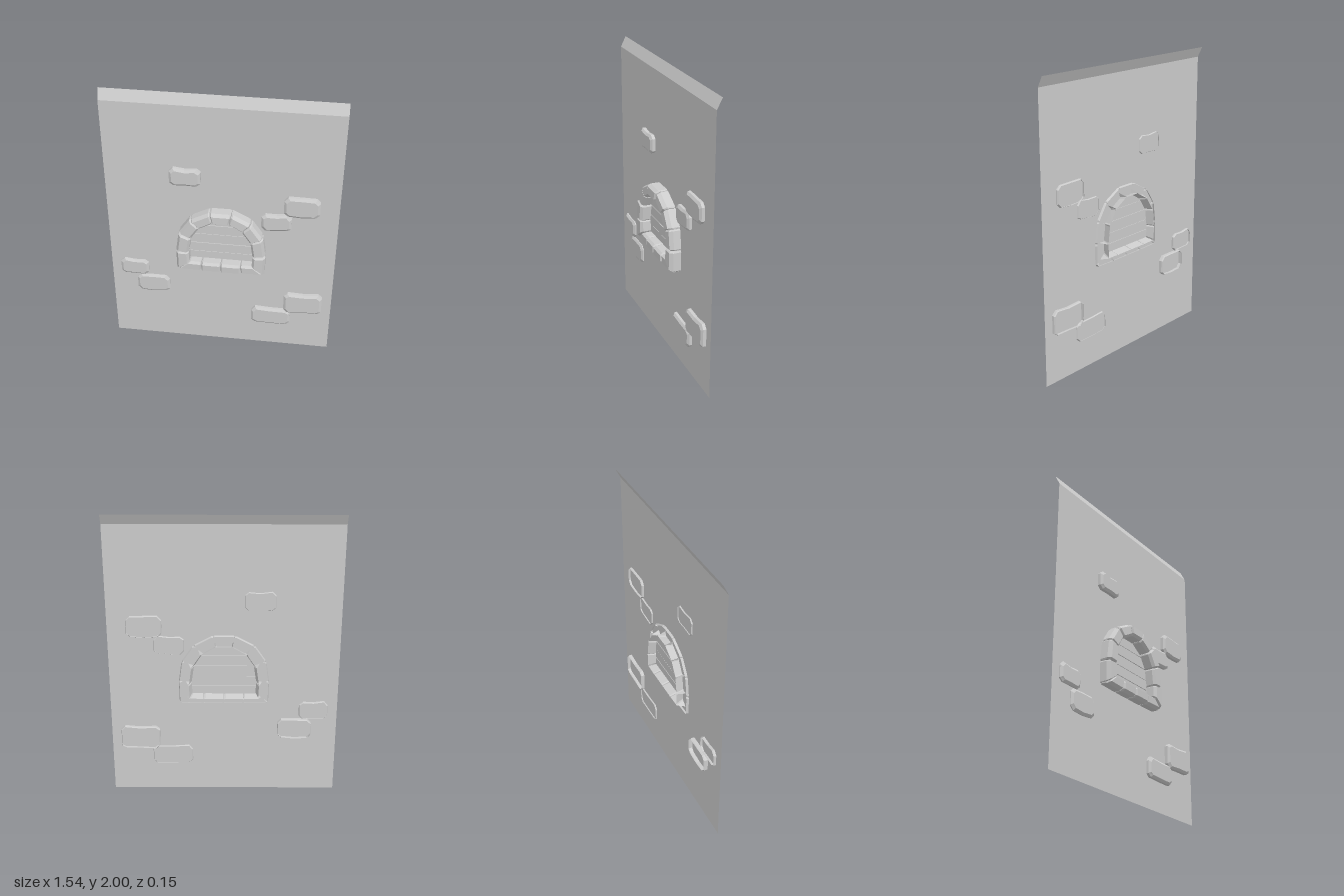
import * as THREE from 'three';

const material = new THREE.MeshStandardMaterial({
  color: 0xcccccc, flatShading: true, side: THREE.DoubleSide,
});

// Skin a grid of points (rows of equal length) with triangles
function skin(name, rows) {
  const cols = rows[0].length, index = [];
  for (let r = 0; r < rows.length - 1; r++) {
    for (let c = 0; c < cols - 1; c++) {
      const a = r * cols + c, d = a + cols;
      index.push(a, a + 1, d + 1, a, d + 1, d);
    }
  }
  const geometry = new THREE.BufferGeometry();
  geometry.setAttribute('position', new THREE.Float32BufferAttribute(rows.flat(2), 3));
  geometry.setIndex(index);
  geometry.computeVertexNormals();
  const mesh = new THREE.Mesh(geometry, material);
  mesh.name = name;
  return mesh;
}

const mean = (points) => [0, 1, 2].map((k) => points.reduce((s, p) => s + p[k], 0) / points.length);
const lerp = THREE.MathUtils.lerp;
const WALL_Z = -0.02;

// Open-backed wall stone with a chamfered, slightly uneven front
function wallStone(x0, x1, y0, y1, zBack, zFront, seed) {
  const cx = (x0 + x1) / 2, cy = (y0 + y1) / 2, w = (x1 - x0) / 2, h = (y1 - y0) / 2;
  const k = 0.026, wob = (i) => 0.004 * Math.sin(seed * 2.3 + i * 1.9);
  const outline = [
    [-w + k, -h], [0, -h], [w - k, -h + 0.004], [w, -h + k], [w, h - k], [w - k, h],
    [0, h - 0.004], [-w + k, h], [-w, h - k], [-w, -h + k],
  ];
  const ring = (inset, z) => {
    const pts = outline.map(([x, y], i) => [
      cx + x * (1 - inset / w), cy + y * (1 - inset / h) + wob(i), z,
    ]);
    return [...pts, pts[0]];
  };
  const front = ring(0.016, zFront);
  const centre = mean(front);
  return skin('wallStone', [
    ring(0.004, zBack), ring(0, zBack + 0.008), ring(0, zFront - 0.012), front,
    front.map(() => centre),
  ]);
}

// Profile of the window surround: [0 outer .. 1 inner, z]
const profile = [
  [0.06, -0.036], [0, -0.02], [0, 0.032], [0.18, 0.058], [0.82, 0.06],
  [1, 0.042], [1, -0.02], [0.8, -0.077],
];

// One block of the surround between two outer/inner point pairs
function frameStone([o0, i0], [o1, i1], lift) {
  const section = (s, shrink) => profile.map(([t, z]) => {
    const tt = lerp(t, 0.5, shrink);
    const o = [lerp(o0[0], o1[0], s), lerp(o0[1], o1[1], s)];
    const i = [lerp(i0[0], i1[0], s), lerp(i0[1], i1[1], s)];
    return [lerp(o[0], i[0], tt), lerp(o[1], i[1], tt), z > 0 ? z + lift - shrink * 0.09 : z];
  });
  const rows = [section(0.012, 0.13), section(0.08, 0), section(0.92, 0), section(0.988, 0.13)];
  const cap = (row) => { const c = mean(row); return row.map(() => c); };
  return skin('frameStone', [cap(rows[0]), ...rows, cap(rows[3])]);
}

export function createModel() {
  const model = new THREE.Group();
  model.name = 'wallWithWindow';

  // Thin wall sheet with its top edge leaning back
  model.add(skin('wall', [[0, WALL_Z], [1.93, WALL_Z], [2, -0.055]]
    .map(([y, z]) => [[-0.77, y, z], [0.77, y, z]])));

  // Scattered stones: x0, x1, y0, y1, back z, front z
  [
    [-0.34, -0.135, 1.35, 1.48, -0.028, 0.014],
    [0.41, 0.645, 1.165, 1.315, -0.037, 0.012],
    [0.265, 0.465, 1.04, 1.17, -0.03, 0.01],
    [-0.705, -0.51, 0.56, 0.69, -0.038, 0],
    [-0.595, -0.365, 0.415, 0.56, -0.05, -0.002],
    [0.44, 0.705, 0.33, 0.5, -0.045, 0.014],
    [0.215, 0.49, 0.205, 0.345, -0.03, 0.01],
  ].forEach((s, i) => model.add(wallStone(...s, i)));

  // Surround joints as [outer, inner], from the lower right corner up to the keystone
  const half = [
    [[-0.3, 0.682], [-0.212, 0.752]],
    [[-0.303, 0.84], [-0.217, 0.835]],
    [[-0.283, 0.99], [-0.2, 0.955]],
    [[-0.205, 1.105], [-0.142, 1.045]],
    [[-0.073, 1.176], [-0.053, 1.098]],
  ];
  const mirror = (pair) => pair.map(([x, y]) => [-x, y]);
  const sill = [0.14, 0, -0.135].map((x) => [[x, 0.678], [x * 0.97, 0.75]]);
  const joints = [...half, ...half.map(mirror).reverse(), ...sill, half[0]];
  const lifts = [0, 0.003, -0.002, 0.003, 0.01, 0.002, 0.004, -0.002, 0.002, -0.008, -0.003, -0.005, -0.008];
  const frame = new THREE.Group();
  frame.name = 'windowFrame';
  for (let i = 0; i < joints.length - 1; i++) {
    frame.add(frameStone(joints[i], joints[i + 1], lifts[i]));
  }
  model.add(frame);

  // Horizontal planks cut to the inside of the arch
  const inner = half.map((pair) => pair[1]);
  const halfWidth = (y) => {
    for (let i = 0; i < inner.length - 1; i++) {
      const [[xa, ya], [xb, yb]] = [inner[i], inner[i + 1]];
      if (y <= yb) return -lerp(xa, xb, Math.max(0, (y - ya) / (yb - ya)));
    }
    return 0.053;
  };
  const shutter = new THREE.Group();
  shutter.name = 'windowPlanks';
  const cuts = [0.75, 0.81, 0.882, 0.958, 1.032, 1.1];
  for (let i = 0; i < cuts.length - 1; i++) {
    const a = cuts[i] + 0.002, b = cuts[i + 1] - 0.002;
    const right = [0, 0.25, 0.5, 0.75, 1].map((t) => {
      const y = lerp(a, b, t);
      return new THREE.Vector2(halfWidth(y), y);
    });
    const left = right.map((p) => new THREE.Vector2(-p.x, p.y)).reverse();
    const plank = new THREE.Mesh(new THREE.ExtrudeGeometry(
      new THREE.Shape([...right, ...left]), { depth: 0.01, bevelEnabled: false }), material);
    plank.position.z = WALL_Z - 0.005 + (i % 2) * 0.001;
    plank.name = 'plank';
    shutter.add(plank);
  }
  model.add(shutter);
  return model;
}
